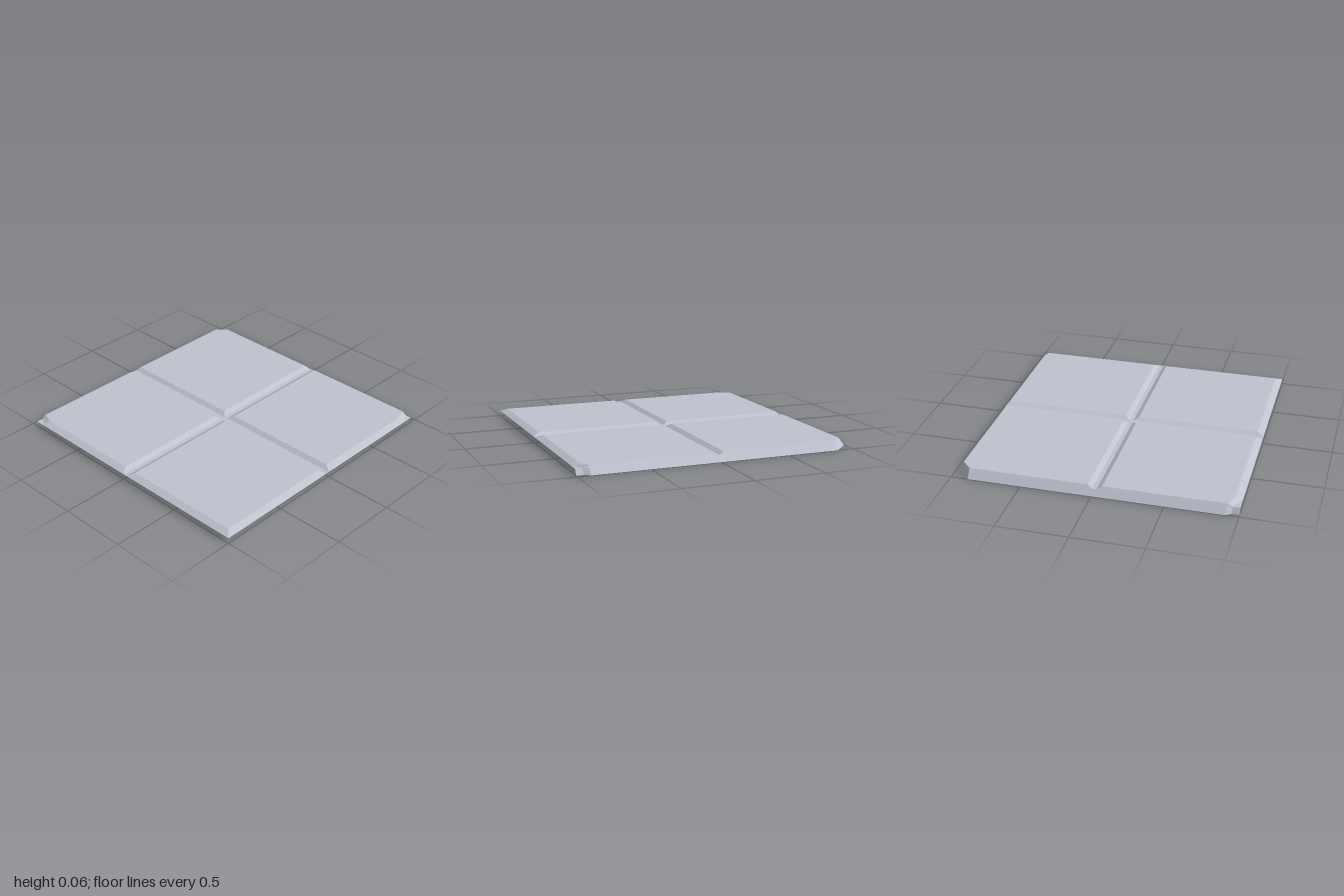
import * as THREE from 'three';

const TOP = 0.06, FLOOR = 0.04;

// The tile is symmetric about one diagonal, so it is laid out in (u, w) with x = u, z = -w.
const at = (pts, y) => pts.map(([u, w]) => [u, y, -w]);
const swap = pts => pts.map(([u, w]) => [w, u]).reverse();

// Flat-shaded mesh from convex polygons, counter-clockwise seen from outside.
function facesMesh(name, polys, material) {
  const pos = [];
  for (const p of polys)
    for (let i = 1; i < p.length - 1; i++) pos.push(...p[0], ...p[i], ...p[i + 1]);
  const geo = new THREE.BufferGeometry();
  geo.setAttribute('position', new THREE.Float32BufferAttribute(pos, 3));
  geo.computeVertexNormals();
  const mesh = new THREE.Mesh(geo, material);
  mesh.name = name;
  return mesh;
}

// Quads between two matching outlines.
function strip(lower, upper, closed) {
  const quads = [], n = lower.length;
  for (let i = 0; i < (closed ? n : n - 1); i++) {
    const j = (i + 1) % n;
    quads.push([lower[i], lower[j], upper[j], upper[i]]);
  }
  return quads;
}

const rect = (u0, w0, u1, w1) => [[u0, w0], [u1, w0], [u1, w1], [u0, w1]];

export function createModel() {
  const group = new THREE.Group();
  group.name = 'floorTile';
  const metal = new THREE.MeshStandardMaterial({ color: 0xc0c4d0, side: THREE.DoubleSide });
  metal.name = 'paleGreyMetal';

  // Raised panels: top outline and the wider outline at the groove floor
  const cornerTop = [[0.035, -0.95], [0.86, -0.95], [0.95, -0.92], [0.95, -0.91], [0.95, -0.065], [0.035, -0.065]];
  const cornerLow = [[0, -1], [0.86, -1], [0.95, -0.95], [0.967, -0.91], [0.967, -0.03], [0, -0.03]];
  const panels = {
    frontRightPanel: [cornerTop, cornerLow],
    backLeftPanel: [swap(cornerTop), swap(cornerLow)],
    frontLeftPanel: [rect(-0.95, -0.95, -0.065, -0.065), rect(-1, -1, -0.03, -0.03)],
    backRightPanel: [
      [[0.035, 0.035], [0.95, 0.035], [0.95, 0.88], [0.88, 0.95], [0.035, 0.95]],
      [[0, 0], [0.967, 0], [0.967, 0.88], [0.88, 0.967], [0, 0.967]],
    ],
  };
  for (const [name, [top, low]] of Object.entries(panels)) {
    const t = at(top, TOP), l = at(low, FLOOR);
    group.add(facesMesh(name, [t, ...strip(l, t, true)], metal));
  }

  // Groove floors between the panels, and the two low corner tabs
  const tab = [[0.86, -1], [0.95, -1], [0.95, -0.95]];
  const floors = [
    rect(-0.03, -1, 0, 0.967), rect(-1, -0.03, -0.03, 0), rect(0, -0.03, 0.967, 0),
    tab, swap(tab),
  ];
  group.add(facesMesh('grooveFloors', floors.map(p => at(p, FLOOR)), metal));

  // Sloping skirt along two sides only; the other two sides stay open
  const halfLow = [[0.97, -1], [0.97, -0.95], [1, -0.91], [1, 0.88]];
  const halfHigh = [[0.95, -1], [0.95, -0.95], [0.967, -0.91], [0.967, 0.88]];
  const skirtLow = at([...halfLow, ...swap(halfLow)], 0);
  const skirtHigh = at([...halfHigh, ...swap(halfHigh)], FLOOR);
  group.add(facesMesh('skirt', strip(skirtLow, skirtHigh, false), metal));

  return group;
}
